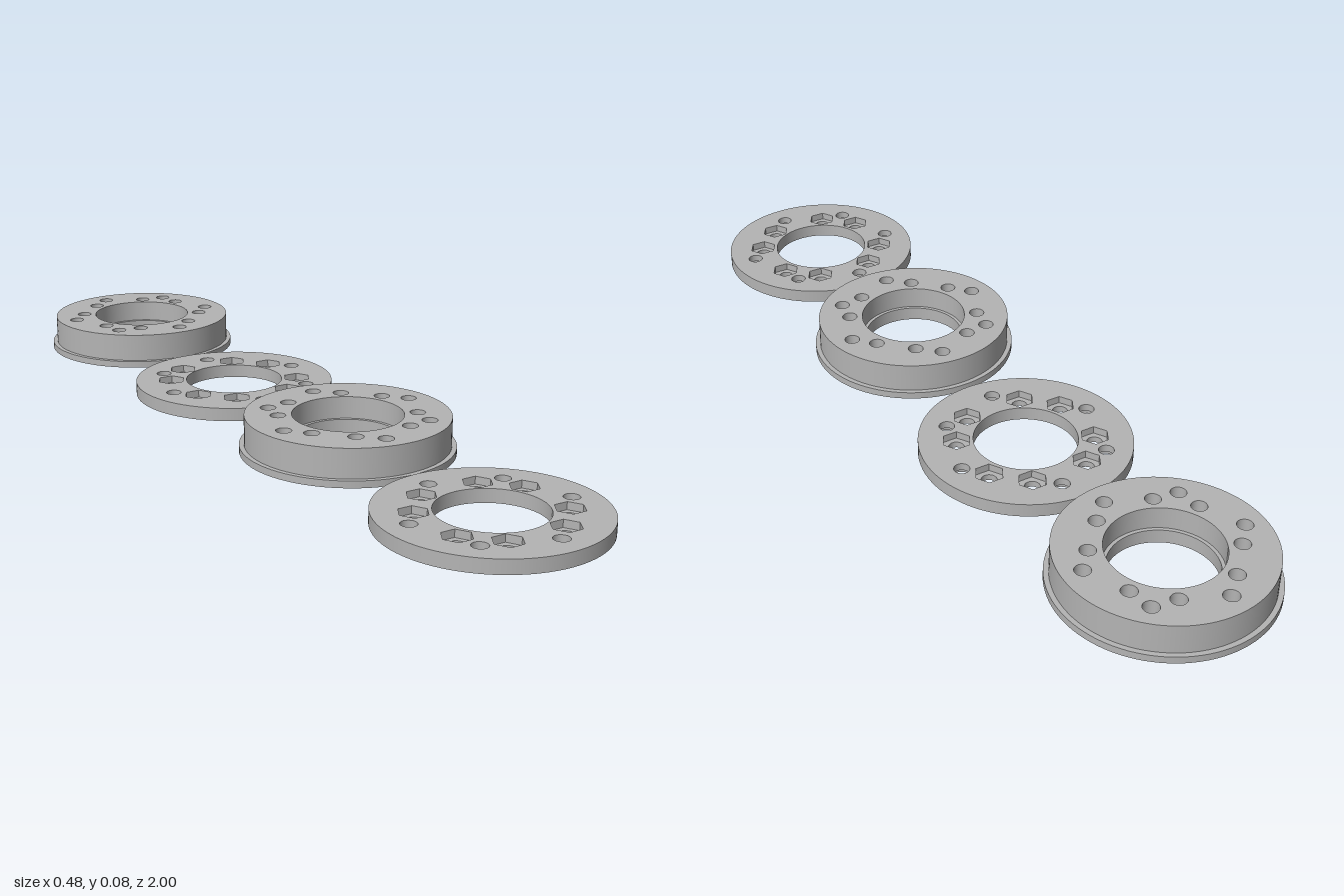
import * as THREE from 'three';
import { mergeGeometries } from 'three/addons/utils/BufferGeometryUtils.js';

const R = 0.238;            // outer radius of every ring
const startAngle = (n) => (n === 6 ? Math.PI / 6 : 0);

// Turned surface along one straight profile segment; rising points face outward.
function turned(r0, y0, r1, y1, n, x = 0, z = 0) {
  const pts = [new THREE.Vector2(r0, y0), new THREE.Vector2(r1, y1)];
  let g = new THREE.LatheGeometry(pts, n, startAngle(n)).toNonIndexed();
  if (n === 6) g.computeVertexNormals();
  return g.translate(x, 0, z);
}

// Points of a circle or hexagon, matching the turned walls.
function outline(r, n, x, z, s) {
  return Array.from({ length: n }, (_, i) => {
    const a = startAngle(n) + (i / n) * Math.PI * 2;
    return new THREE.Vector2(x + r * Math.sin(a), s * (z + r * Math.cos(a)));
  });
}

// Flat face with holes, facing up or down. Each loop is { r, n, x, z }.
function face(y, up, outer, holes) {
  const s = up ? -1 : 1;
  const loop = (o) => outline(o.r, o.n, o.x || 0, o.z || 0, s);
  const shape = new THREE.Shape(loop(outer));
  holes.forEach((h) => shape.holes.push(new THREE.Path(loop(h))));
  const g = new THREE.ShapeGeometry(shape).toNonIndexed();
  return g.rotateX(s * Math.PI / 2).translate(0, y, 0);
}

// Bolt hole with an optional wider pocket sunk from the top or the bottom.
function boltHole(h, height) {
  const { x, z, r, pocket } = h;
  if (!pocket) return [turned(r, height, r, 0, 24, x, z)];
  const { r: pr, n, depth, top } = pocket;
  const floor = top ? height - depth : depth;
  return [
    turned(r, top ? floor : height, r, top ? 0 : floor, 24, x, z),
    turned(pr, top ? height : floor, pr, top ? floor : 0, n, x, z),
    face(floor, top, { r: pr, n, x, z }, [{ r, n: 24, x, z }]),
  ];
}

// Eight inner bolt holes and six outer ones; flip mirrors the pattern.
function boltPattern(flip, innerPocket, outerPocket) {
  const place = (radius, degrees, r, pocket) => {
    const a = THREE.MathUtils.degToRad(degrees);
    return { x: flip * radius * Math.cos(a), z: -radius * Math.sin(a), r, pocket };
  };
  const holes = [];
  for (let q = 0; q < 4; q++) {
    for (const d of [27, 63]) holes.push(place(0.153, d + q * 90, 0.0175, innerPocket));
  }
  for (const d of [45, 97, 172, 225, 277, 352]) holes.push(place(0.18, d, 0.0175, outerPocket));
  return holes;
}

const opening = (h, top) => {
  const wide = h.pocket && h.pocket.top === top;
  return { x: h.x, z: h.z, r: wide ? h.pocket.r : h.r, n: wide ? h.pocket.n : 24 };
};

// Top and bottom faces plus all bolt holes.
function drilledFaces(height, topR, topBore, bottomBore, holes) {
  const n = 96;
  return [
    face(height, true, { r: topR, n }, [{ r: topBore, n }, ...holes.map((h) => opening(h, true))]),
    face(0, false, { r: R, n }, [{ r: bottomBore, n }, ...holes.map((h) => opening(h, false))]),
    ...holes.flatMap((h) => boltHole(h, height)),
  ];
}

// Thin clamp ring with hexagonal nut pockets on top.
function clampRing(flip) {
  const height = 0.031, bore = 0.116;
  const holes = boltPattern(flip,
    { r: 0.033, n: 6, depth: 0.017, top: true },
    { r: 0.029, n: 24, depth: 0.014, top: false });
  return mergeGeometries([
    turned(R, 0, R, height, 96),
    turned(bore, height, bore, 0, 96),
    ...drilledFaces(height, R, bore, bore, holes),
  ]);
}

// Tall hub ring with a thin flange and a stepped bore.
function hubRing(flip, pocketSides) {
  const height = 0.083, flange = 0.016, body = 0.227;
  const bore = 0.123, lip = 0.115, lipY = 0.032;
  const holes = boltPattern(flip, null,
    { r: pocketSides === 6 ? 0.033 : 0.03, n: pocketSides, depth: 0.05, top: false });
  return mergeGeometries([
    turned(R, 0, R, flange, 96),
    turned(R, flange, body, flange, 96),
    turned(body, flange, body, height, 96),
    turned(bore, height, bore, lipY, 96),
    turned(bore, lipY, lip, lipY, 96),
    turned(lip, lipY, lip, 0, 96),
    ...drilledFaces(height, body, bore, lip, holes),
  ]);
}

export function createModel() {
  const group = new THREE.Group();
  const grey = new THREE.MeshStandardMaterial({ color: 0xb4b4b4 });
  grey.name = 'grey';

  const add = (name, geometry, z) => {
    const mesh = new THREE.Mesh(geometry, grey);
    mesh.name = name;
    mesh.position.z = z;
    group.add(mesh);
  };

  add('frontClampRing', clampRing(1), 0.762);
  add('frontHubRing', hubRing(-1, 6), 0.254);
  add('backClampRing', clampRing(-1), -0.254);
  add('backHubRing', hubRing(1, 24), -0.762);
  return group;
}
